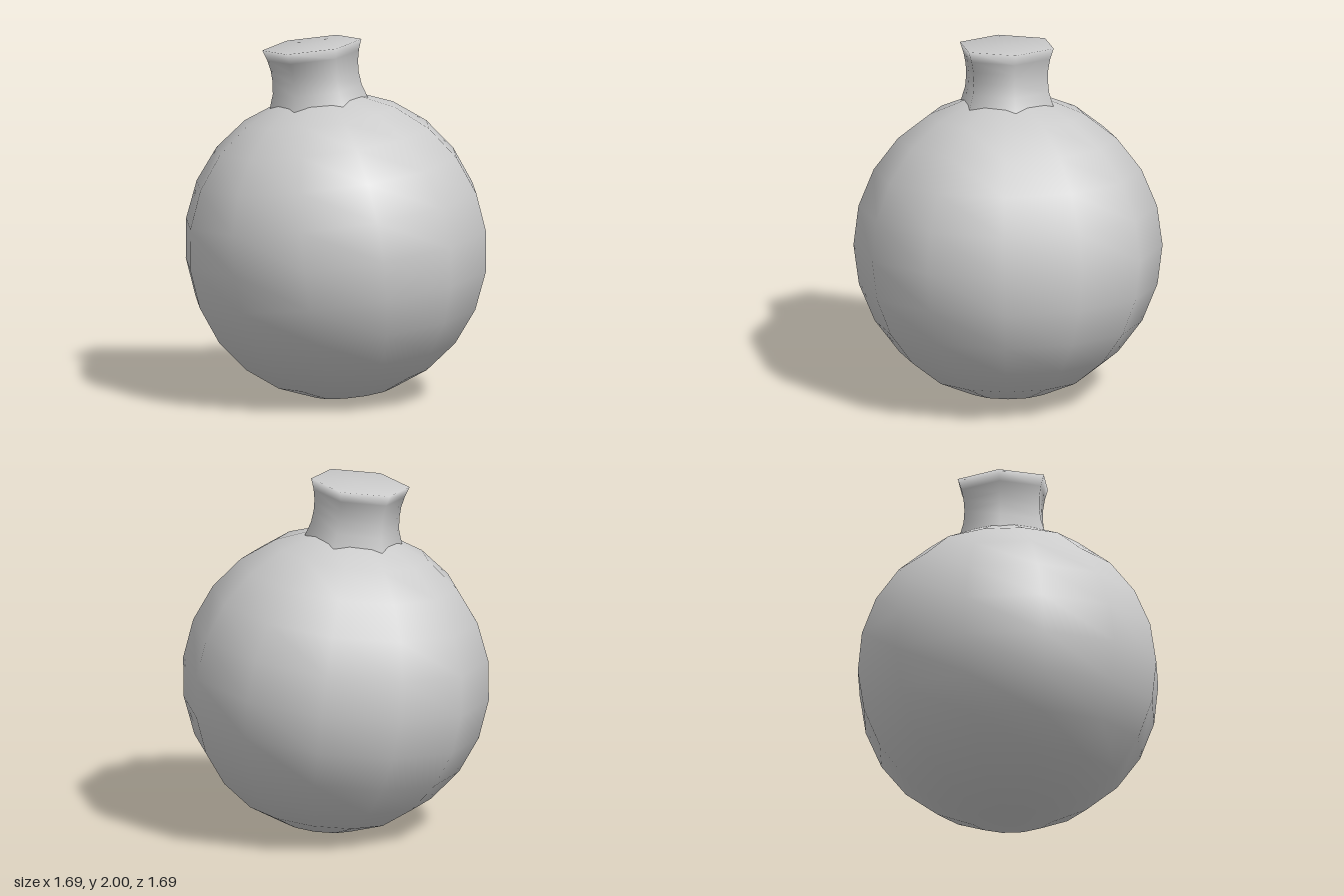
import * as THREE from 'three';

export function createModel() {
  const material = new THREE.MeshStandardMaterial({ color: 0xcccccc });
  const deg = Math.PI / 180;
  const radius = 0.855;

  // Everything shares one slightly leaning axis through the ball's centre
  const model = new THREE.Group();
  model.name = 'roundFlask';
  const leaning = new THREE.Group();
  leaning.name = 'leaningBody';
  leaning.position.y = radius;
  leaning.quaternion.setFromUnitVectors(
    new THREE.Vector3(0, 1, 0),
    new THREE.Vector3(-0.08, 1, -0.09).normalize()
  );
  model.add(leaning);

  // Ball: 12 x 12 smooth-shaded sphere
  const ball = new THREE.Mesh(new THREE.SphereGeometry(radius, 12, 12), material);
  ball.name = 'ball';
  ball.rotation.y = 7.4 * deg;
  leaning.add(ball);

  // Neck: six-sided waisted collar with a closed top, sunk into the ball
  const profile = [
    [0.29, 0.74], [0.27, 0.81], [0.247, 0.88], [0.24, 0.95],
    [0.243, 1.01], [0.255, 1.07], [0.276, 1.13], [0, 1.13],
  ].map(([r, y]) => new THREE.Vector2(r, y));
  const neck = new THREE.Mesh(new THREE.LatheGeometry(profile, 6), material);
  neck.name = 'neck';
  neck.rotation.y = -11 * deg;
  leaning.add(neck);

  return model;
}
